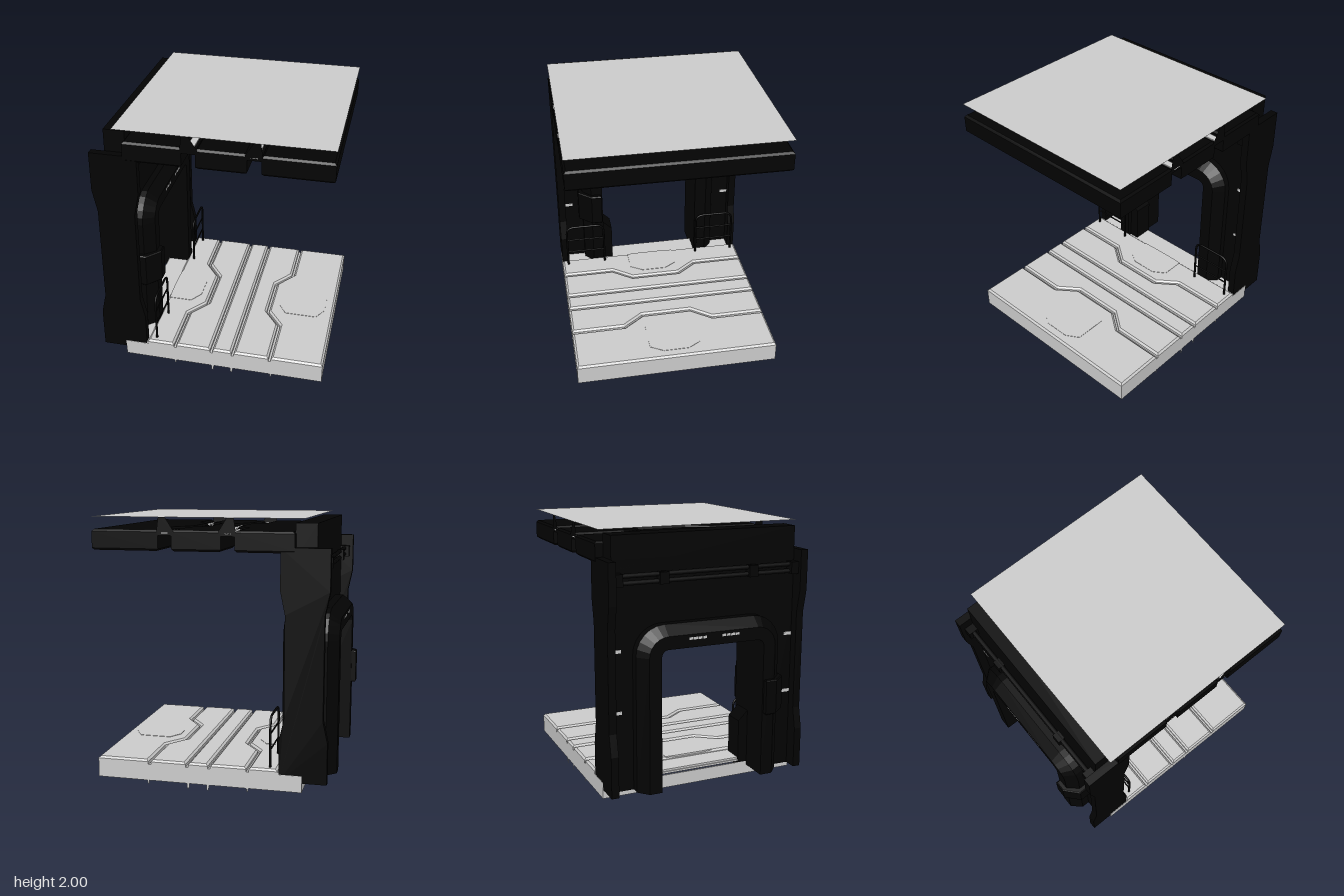
import * as THREE from 'three';

const dark = new THREE.MeshStandardMaterial({ color: 0x030303, flatShading: true, side: THREE.DoubleSide });
const smoothDark = new THREE.MeshStandardMaterial({ color: 0x030303 });
const grey = new THREE.MeshStandardMaterial({ color: 0xcccccc, flatShading: true, side: THREE.DoubleSide });
const CX = -0.663; // middle of the door frame
const WX = -0.655; // middle of the wall and pillars
const D = 0.78;    // half depth of floor and roof
const XR = 0.906;  // outer edge of floor and roof

export function createModel() {
  const model = new THREE.Group();

  const add = (name, geo, mat) => {
    const mesh = new THREE.Mesh(geo, mat);
    mesh.name = name;
    model.add(mesh);
  };
  const box = (name, mat, x0, x1, y0, y1, z0, z1) => {
    const g = new THREE.BoxGeometry(x1 - x0, y1 - y0, Math.abs(z1 - z0));
    add(name, g.translate((x0 + x1) / 2, (y0 + y1) / 2, (z0 + z1) / 2), mat);
  };
  const shapeOf = (pts) => new THREE.Shape(pts.map(([a, b]) => new THREE.Vector2(a, b)));

  // Plan outline of [x, z] points raised from y0 to y1, with an optional bevel
  const slab = (name, mat, pts, y0, y1, bevel = 0) => {
    const g = new THREE.ExtrudeGeometry(shapeOf(pts.map(([x, z]) => [x, -z])), {
      depth: y1 - y0 - 2 * bevel, bevelEnabled: bevel > 0, bevelSize: bevel,
      bevelThickness: bevel, bevelOffset: -bevel, bevelSegments: 1,
    });
    add(name, g.rotateX(-Math.PI / 2).translate(0, y0 + bevel, 0), mat);
  };
  // Side outline of [x, y] points spanning z0 to z1
  const profile = (name, mat, pts, z0, z1) => {
    const g = new THREE.ExtrudeGeometry(shapeOf(pts), { depth: z1 - z0, bevelEnabled: false });
    add(name, g.translate(0, 0, z0), mat);
  };
  // Edge running front to back, stepping sideways by d in the middle
  const edge = (x, d = 0) => (d
    ? [[x, D], [x, 0.36], [x + d, 0.2], [x + d, -0.2], [x, -0.36], [x, -D]]
    : [[x, D], [x, -D]]);
  const between = (a, b) => [...a, ...b.slice().reverse()];
  const strip = (x, d, w) => between(edge(x - w, d), edge(x + w, d));

  // Floor: panels over a base plate, with ribs beneath and an open skirt
  const floorPanels = [
    [edge(-0.47), edge(-0.26, 0.12)],
    [edge(-0.24, 0.12), edge(0.03)],
    [edge(0.05), edge(0.2)],
    [edge(0.22), edge(0.49, -0.12)],
    [edge(0.51, -0.12), edge(XR)],
  ];
  floorPanels.forEach(([a, b]) => slab('floorPanel', grey, between(a, b), 0.15, 0.2, 0.015));
  box('floorBase', grey, -0.648, XR - 0.002, 0.15, 0.165, -D + 0.002, D - 0.002);
  box('floorBackStrip', grey, -0.64, -0.47, 0.16, 0.18, -D + 0.005, D - 0.005);
  for (const [x, d, w] of [[-0.25, 0.12, 0.012], [0.04, 0, 0.018], [0.21, 0, 0.018], [0.5, -0.12, 0.012]]) {
    slab('floorRib', grey, strip(x, d, w), 0.115, 0.155);
  }
  box('skirtRight', grey, XR - 0.01, XR, 0.04, 0.17, -D, D);
  box('skirtLeft', grey, -0.65, -0.64, 0.04, 0.14, -D, D);
  for (const s of [-1, 1]) {
    box('skirtEnd', grey, -0.65, XR, 0.04, 0.165, s * D, s * (D - 0.008));
    // Hatches beside the stepped seams
    const half = [[0.335, 0.1], [0.4, 0.2], [s > 0 ? 0.65 : 0.585, 0.2], [s > 0 ? 0.71 : 0.59, 0.1]]
      .map(([x, z]) => [0.125 + s * x, z]);
    slab('floorHatch', grey, between(half, half.map(([x, z]) => [x, -z])), 0.19, 0.203);
    // Flat end tabs under the floor seams
    for (const [x, y, w] of [[-0.25, 0.015, 0.01], [0.05, 0, 0.013], [0.2, 0, 0.013], [0.51, 0.015, 0.01]]) {
      const tab = shapeOf([[x - w, 0.06], [x + w, 0.06], [x + w * 0.5, y], [x - w * 0.5, y]]);
      add('floorTab', new THREE.ShapeGeometry(tab).translate(0, 0, s * D), grey);
    }
    // Flat end tabs over the roof channels
    for (const m of [-1, 1]) {
      const tab = shapeOf([[0.165, 1.875], [0.165, 1.905], [0.225, 2], [0.275, 2], [0.288, 1.905], [0.288, 1.875]]
        .map(([x, y]) => [0.125 + m * x, y]));
      add('roofTab', new THREE.ShapeGeometry(tab).translate(0, 0, s * D), dark);
    }
  }

  // Roof: three panels split by two stepped channels, under a thin cover
  const roofPanels = [
    [edge(-0.58), edge(-0.155, 0.11)],
    [edge(-0.055, 0.11), edge(0.305, -0.11)],
    [edge(0.405, -0.11), edge(XR)],
  ];
  roofPanels.forEach(([a, b]) => slab('roofPanel', dark, between(a, b), 1.76, 1.91, 0.015));
  for (const [x, d] of [[-0.105, 0.11], [0.355, -0.11]]) {
    slab('roofChannel', dark, strip(x, d, 0.07), 1.87, 1.885);
    slab('roofLight', grey, strip(x, d, 0.025), 1.885, 1.893);
  }
  const cover = new THREE.PlaneGeometry(XR + 0.65, 2 * D);
  add('cover', cover.rotateX(-Math.PI / 2).translate((XR - 0.65) / 2, 2, 0), grey);

  // Wall around the doorway, with the beam on top
  box('wallTop', dark, WX - 0.075, WX + 0.075, 1.2, 1.8, -0.725, 0.725);
  box('topBeam', dark, -0.73, -0.575, 1.72, 1.967, -0.72, 0.72);

  for (const s of [-1, 1]) {
    box('wallLeg', dark, WX - 0.075, WX + 0.075, 0.11, 1.3, s * 0.48, s * 0.725);
    // Waisted end pillars
    const sides = [[0.175, 0.11], [0.175, 0.42], [0.14, 0.58], [0.14, 1.33], [0.175, 1.5], [0.175, 1.8]];
    const pillar = between(sides.map(([x, y]) => [WX + x, y]), sides.map(([x, y]) => [WX - x, y]));
    profile('pillar', dark, pillar, s > 0 ? 0.72 : -0.777, s > 0 ? 0.777 : -0.72);
    // Lights recessed beside the pillars, on both faces
    for (const y of [0.707, 1.157]) {
      box('pillarLight', grey, WX - 0.078, WX + 0.078, y - 0.012, y + 0.012, s * 0.655, s * 0.718);
    }
    // Railing
    const rail = new THREE.CurvePath();
    const v = (z, y) => new THREE.Vector3(-0.41, y, s * z);
    rail.add(new THREE.LineCurve3(v(0.73, 0.18), v(0.73, 0.51)));
    rail.add(new THREE.QuadraticBezierCurve3(v(0.73, 0.51), v(0.73, 0.58), v(0.66, 0.58)));
    rail.add(new THREE.LineCurve3(v(0.66, 0.58), v(0.48, 0.58)));
    rail.add(new THREE.QuadraticBezierCurve3(v(0.48, 0.58), v(0.41, 0.58), v(0.41, 0.51)));
    rail.add(new THREE.LineCurve3(v(0.41, 0.51), v(0.41, 0.18)));
    add('railing', new THREE.TubeGeometry(rail, 60, 0.009, 8), smoothDark);
    for (const y of [0.33, 0.45]) {
      const bar = new THREE.CylinderGeometry(0.006, 0.006, 0.32, 8).rotateX(Math.PI / 2);
      add('railingBar', bar.translate(-0.41, y, s * 0.57), smoothDark);
    }
    // Pipes with brackets above the doorway, on both faces
    const px = WX + s * 0.107;
    for (const y of [1.64, 1.69]) {
      const pipe = new THREE.CylinderGeometry(0.017, 0.017, 1.42, 10).rotateX(Math.PI / 2);
      add('pipe', pipe.translate(px, y, 0), smoothDark);
    }
    for (const z of [-0.35, 0.35]) {
      box('pipeBracket', dark, px - 0.032, px + 0.022, 1.62, 1.705, z - 0.035, z + 0.035);
    }
    for (const z of [-0.69, 0.69]) {
      box('pipeEndBlock', dark, px - 0.04, px + 0.04, 1.62, 1.71, z - 0.03, z + 0.03);
    }
    // Light strips over the doorway
    for (const m of [-1, 1]) {
      for (let i = 0; i < 4; i++) {
        const z = m * (0.075 + i * 0.036);
        const x = CX + s * 0.206;
        box('doorLight', grey, x - 0.002, x + 0.002, 1.226, 1.244, z - 0.015, z + 0.015);
      }
    }
  }

  // Door frame: a bevelled section swept up, over and down the opening
  const section = [[0, 0.207], [0.095, 0.207], [0.165, 0.13], [0.165, -0.13], [0.095, -0.207], [0, -0.207]];
  const R = 0.05, W = 0.405, H = 1.17;
  const stations = [[W, 0.11, 0]];
  for (const s of [1, -1]) {
    for (let i = 0; i <= 6; i++) {
      const a = (s > 0 ? i : 6 + i) * Math.PI / 12;
      stations.push([s * (W - R) + R * Math.cos(a), H - R + R * Math.sin(a), a]);
    }
  }
  stations.push([-W, 0.11, Math.PI]);
  const pos = [], idx = [], n = section.length;
  stations.forEach(([z, y, a], i) => section.forEach(([o, x], j) => {
    pos.push(CX + x, y + o * Math.sin(a), z + o * Math.cos(a));
    if (i === 0) return;
    const p = (i - 1) * n, k = (j + 1) % n;
    idx.push(p + j, p + n + j, p + k, p + k, p + n + j, p + n + k);
  }));
  for (let j = 1; j < n - 1; j++) {
    const e = (stations.length - 1) * n;
    idx.push(0, j, j + 1, e, e + j + 1, e + j);
  }
  const frame = new THREE.BufferGeometry();
  frame.setAttribute('position', new THREE.Float32BufferAttribute(pos, 3));
  frame.setIndex(idx);
  frame.computeVertexNormals();
  add('doorFrame', frame, dark);

  // Clamp around one door leg, and the chamfered block at its foot
  const clamp = [[0.244, 0.415], [0.244, 0.5], [0.15, 0.605]];
  slab('legClamp', dark, between(clamp.map(([x, z]) => [CX + x, z]), clamp.map(([x, z]) => [CX - x, z])), 0.595, 0.86, 0.008);
  const block = shapeOf([[-0.45, 0.11], [-0.33, 0.11], [-0.33, 0.48], [-0.405, 0.555], [-0.45, 0.555]]);
  const blockGeo = new THREE.ExtrudeGeometry(block, { depth: 0.16, bevelEnabled: false });
  add('footBlock', blockGeo.rotateY(Math.PI / 2).translate(-0.65, 0, 0), dark);

  return model;
}
